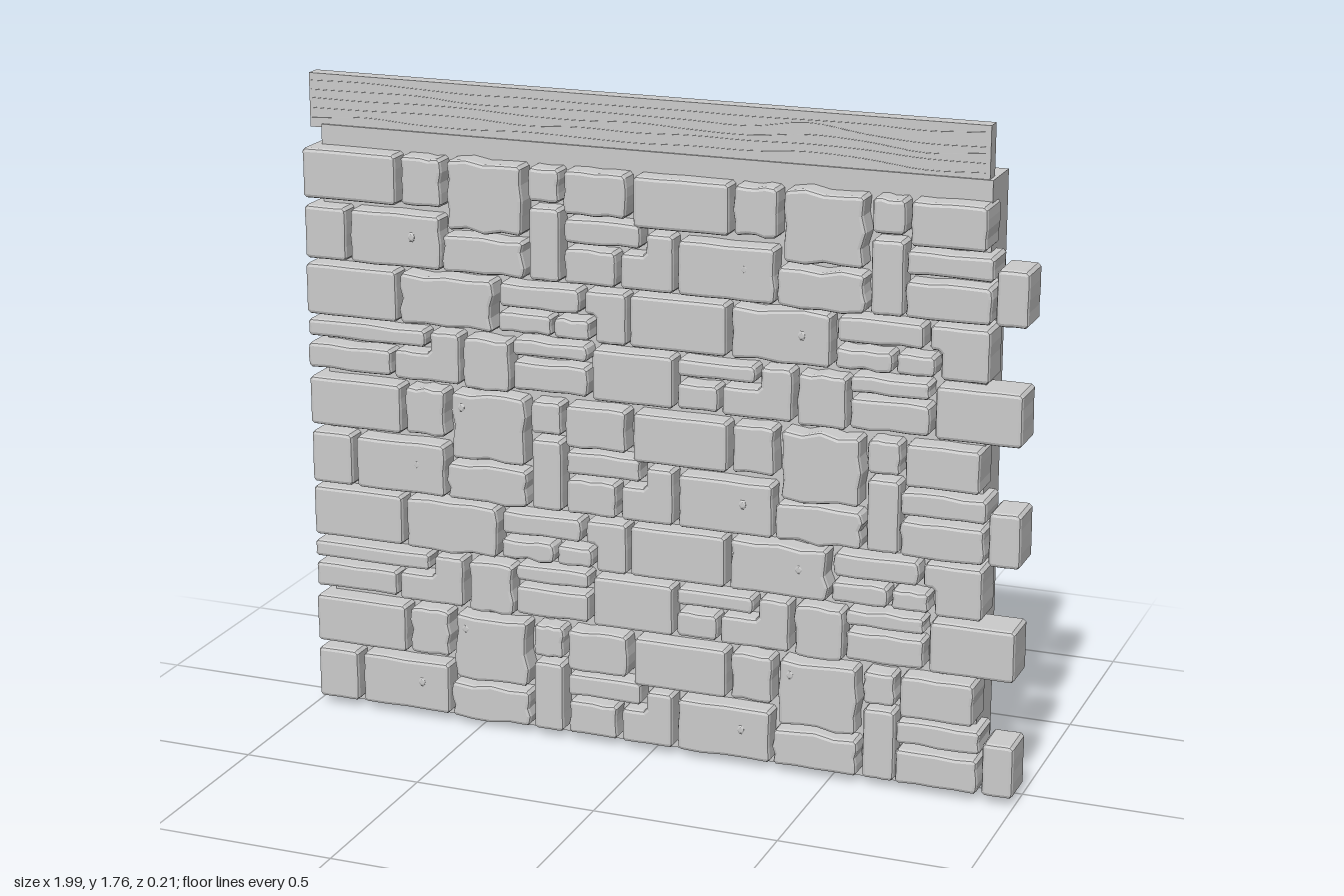
import * as THREE from 'three';

const grey = new THREE.MeshStandardMaterial({ color: 0xcccccc });

// Small seeded generator so that every build is the same
let seed = 7;
const rand = () => {
  seed = (seed * 16807) % 2147483647;
  return seed / 2147483647 - 0.5;
};

const BACK = -0.025;   // rear of the stones
const FRONT = 0.095;   // average face of the stones
const TILE = 93;       // horizontal repeat of the pattern, in hundredths
const COURSE = 62.8;   // vertical repeat of the pattern, in hundredths

// Corners of a rectangle, or of a block with its lower or upper left notched out
const rect = (x0, y0, x1, y1) => [[x0, y0], [x1, y0], [x1, y1], [x0, y1]];
const notchedBelow = (x0, y0, x1, y1, nx, ny) => [[nx, y0], [x1, y0], [x1, y1], [x0, y1], [x0, ny], [nx, ny]];
const notchedAbove = (x0, y0, x1, y1, nx, ny) => [[x0, y0], [x1, y0], [x1, y1], [nx, y1], [nx, ny], [x0, ny]];

// Each entry is [corners, edge wobble]; corners in hundredths from the lower left of the wall
const shared = {
  A: [
    [rect(14.5, 2, 40.5, 16.5), 0.3], [rect(29.5, 19, 41, 32), 0.5],
    [rect(43, 13.5, 64, 32), 0.8], [rect(41.5, 2, 64.5, 12), 0.8],
    [rect(66, 23, 74.5, 32), 0.3], [rect(66, 2, 74.5, 21.5), 0.1],
  ],
  B: [
    [notchedAbove(26.5, 34, 45.5, 48, 37, 42), 0.2], [rect(47, 33.5, 60, 47.5), 0.5],
    [rect(61, 44, 82, 48.5), 0.4], [rect(61, 34.5, 82, 42.5), 0.4],
  ],
  C: [
    [rect(1, 49.5, 27.5, 63.5), 0.1], [rect(29, 49.5, 55.5, 63.5), 0.8],
    [rect(57.5, 57, 80, 63.5), 0.5], [rect(57, 50, 72, 55.5), 0.5], [rect(73, 50, 83, 55.5), 0.4],
  ],
};

// Stones at the left end, the joint of the two tiles, and the toothed right end
const single = {
  A: [
    [rect(1, 18.5, 28, 32), 0.1], [rect(1, 2, 13, 16.5), 0.1],
    [rect(76, 20.5, 93, 32), 0.4], [rect(76, 13, 97, 19.3), 0.4], [rect(76, 2, 90, 11.5), 0.4],
    [notchedAbove(91.5, 2, 106, 17.2, 98.5, 11.5), 0.1], [rect(95, 18.5, 121, 32), 0.1],
    [rect(169, 20.5, 188.5, 32), 0.2], [rect(168, 13, 190.5, 19.3), 0.4],
    [rect(168, 2, 190, 11.5), 0.4], [rect(191.2, 2, 199.5, 16.5), 0.1],
  ],
  B: [
    [rect(1, 43.3, 35.5, 48), 0.3], [rect(1, 34.5, 25.5, 41.5), 0.3],
    [rect(83.5, 34, 106, 48), 0.1], [rect(107.3, 43.3, 128.5, 48), 0.3],
    [rect(107.3, 34.5, 118.5, 41.5), 0.3], [rect(176.5, 34, 199, 48), 0.1],
  ],
  C: [
    [notchedBelow(81.5, 49.5, 93, 63.5, 84.5, 57), 0.1],
    [notchedBelow(174.5, 49.5, 190, 63.5, 177.5, 57), 0.1],
  ],
};

// One bevelled stone with clipped corners and uneven edges
function stone(corners, wobble, dx, dy) {
  const points = [];
  corners.forEach(([x, y], i) => {
    const [nx, ny] = corners[(i + 1) % corners.length];
    const length = Math.hypot(nx - x, ny - y);
    const ux = (nx - x) / length, uy = (ny - y) / length;
    const steps = length > 8 ? 4 : 2;
    for (let k = 0; k <= steps; k++) {
      const t = 0.8 + (length - 1.6) * (k / steps);
      const bump = k > 0 && k < steps ? rand() * wobble * 1.8 : 0;
      points.push(new THREE.Vector2(
        (x + dx + ux * t - uy * bump) / 100 - 1,
        (y + dy + uy * t + ux * bump) / 100));
    }
  });
  const bevel = 0.01;
  const face = FRONT + rand() * 0.006 + wobble * 0.004;
  const geometry = new THREE.ExtrudeGeometry(new THREE.Shape(points), {
    depth: face - BACK - 2 * bevel, bevelEnabled: true, bevelThickness: bevel,
    bevelSize: bevel, bevelOffset: -bevel, bevelSegments: 2,
  });
  geometry.translate(0, 0, BACK + bevel);
  const mesh = new THREE.Mesh(geometry, grey);
  mesh.name = 'stone';
  return mesh;
}

// Small chip sitting on a stone face
function chip(x, y) {
  const mesh = new THREE.Mesh(new THREE.IcosahedronGeometry(0.011, 0), grey);
  mesh.name = 'stoneChip';
  mesh.position.set(x / 100 - 1, y / 100, FRONT);
  mesh.scale.set(1, 1.3, 0.4);
  return mesh;
}

function box(name, x0, x1, y0, y1, z0, z1) {
  const mesh = new THREE.Mesh(new THREE.BoxGeometry(x1 - x0, y1 - y0, z1 - z0), grey);
  mesh.name = name;
  mesh.position.set((x0 + x1) / 2, (y0 + y1) / 2, (z0 + z1) / 2);
  return mesh;
}

export function createModel() {
  seed = 7;
  const model = new THREE.Group();
  model.name = 'stoneWall';

  // Solid core and the plank on top
  model.add(box('wallCore', -0.96, 0.88, 0, 1.63, -0.107, 0.036));
  model.add(box('topPlank', -0.995, 0.87, 1.62, 1.765, -0.014, 0.03));

  // Wavy grain lines along the plank
  const grain = new THREE.Group();
  grain.name = 'plankGrain';
  [1.65, 1.675, 1.697, 1.72, 1.743].forEach((y, row) => {
    const path = [];
    for (let i = 0; i <= 12; i++) {
      const bend = i > 8 && row < 4 ? 0.012 * Math.sin((i - 8) * 1.4) : 0;
      path.push(new THREE.Vector3(-0.99 + i * 0.154, y + bend + rand() * 0.012, 0.029));
    }
    const line = new THREE.Mesh(
      new THREE.TubeGeometry(new THREE.CatmullRomCurve3(path), 48, 0.002, 4), grey);
    line.name = 'grainLine';
    grain.add(line);
  });
  model.add(grain);

  // Stone facing: bands A, B and C stacked, A once more at the top
  const facing = new THREE.Group();
  facing.name = 'stoneFacing';
  for (let course = 0; course < 3; course++) {
    const dy = course * COURSE;
    for (const band of course < 2 ? ['A', 'B', 'C'] : ['A']) {
      for (const dx of [0, TILE]) {
        for (const [corners, wobble] of shared[band]) facing.add(stone(corners, wobble, dx, dy));
      }
      for (const [corners, wobble] of single[band]) facing.add(stone(corners, wobble, 0, dy));
    }
    for (const dx of [0, TILE]) {
      facing.add(chip(32.5 + dx, 10.5 + dy), chip(46 + dx, 28 + dy));
      if (course < 2) facing.add(chip(48 + dx, 57.5 + dy));
    }
  }
  model.add(facing);
  return model;
}
